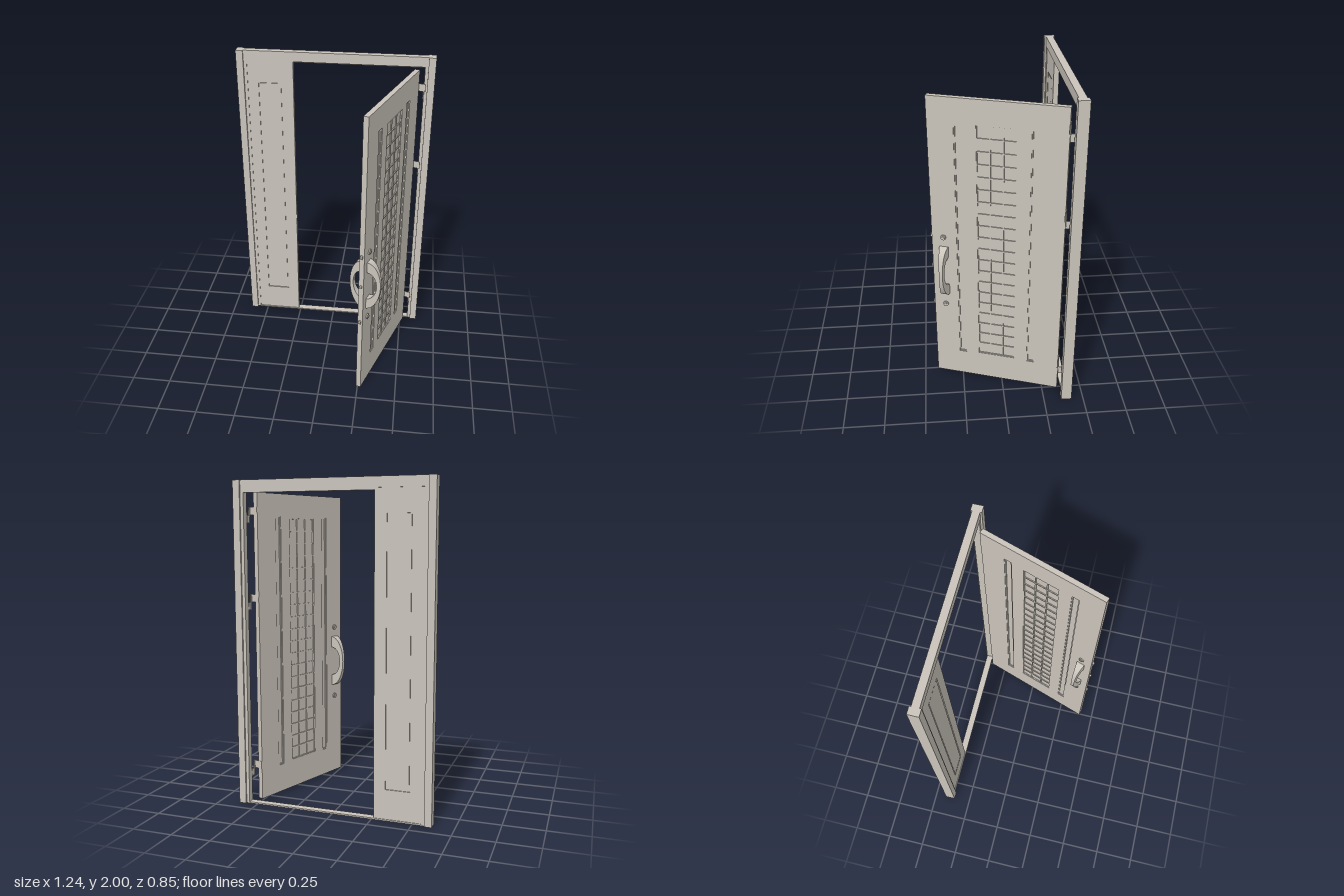
import * as THREE from 'three';

export function createModel() {
  const model = new THREE.Group();
  const paint = new THREE.MeshStandardMaterial({ color: 0xcac4bb });
  paint.name = 'warm grey paint';

  const add = (parent, name, geometry, x = 0, y = 0, z = 0) => {
    const mesh = new THREE.Mesh(geometry, paint);
    mesh.name = name;
    mesh.position.set(x, y, z);
    parent.add(mesh);
    return mesh;
  };
  // Box given by its limits on each axis
  const box = (parent, name, x0, x1, y0, y1, z0, z1) =>
    add(parent, name, new THREE.BoxGeometry(x1 - x0, y1 - y0, z1 - z0),
      (x0 + x1) / 2, (y0 + y1) / 2, (z0 + z1) / 2);
  // Slab with rectangular openings, each [x0, x1, y0, y1], centred on z
  const slab = (parent, name, [x0, x1, y0, y1], openings, depth, z) => {
    const rect = (path, a, b, c, d) =>
      path.moveTo(a, c).lineTo(b, c).lineTo(b, d).lineTo(a, d).closePath();
    const shape = new THREE.Shape();
    rect(shape, x0, x1, y0, y1);
    for (const o of openings) {
      const hole = new THREE.Path();
      rect(hole, ...o);
      shape.holes.push(hole);
    }
    return add(parent, name,
      new THREE.ExtrudeGeometry(shape, { depth, bevelEnabled: false }), 0, 0, z - depth / 2);
  };

  // Door frame
  const frame = new THREE.Group();
  frame.name = 'frame';
  model.add(frame);
  for (const s of [-1, 1]) {
    const side = s < 0 ? 'right' : 'left';
    const span = (a, b) => (s < 0 ? [-b, -a] : [a, b]);
    box(frame, side + 'Post', ...span(0.575, 0.62), 0, 2, -0.425, -0.36);
    box(frame, side + 'Jamb', ...span(0.555, 0.575), 0, 1.94, -0.415, -0.372);
  }
  box(frame, 'header', -0.575, 0.575, 1.938, 2, -0.415, -0.37);
  box(frame, 'headerStop', -0.262, 0.555, 1.925, 1.938, -0.415, -0.4);
  box(frame, 'sill', -0.555, 0.555, 0, 0.009, -0.415, -0.37);

  // Fixed side panel with a groove around its field
  const field = [-0.486, -0.335, 0.192, 1.797];
  slab(frame, 'sidePanel', [-0.575, -0.262, 0, 1.938], [field], 0.034, -0.393);
  box(frame, 'sidePanelCore', ...field, -0.404, -0.382);
  const g = 0.007;
  box(frame, 'sidePanelField', field[0] + g, field[1] - g, field[2] + g, field[3] - g, -0.409, -0.377);
  for (const y of [1.045, 0.82, 0.56])
    box(frame, 'strikePlate', -0.263, -0.259, y - 0.022, y + 0.022, -0.4, -0.386);

  // Open door: local +x points to the hinges, local +z is the outside
  const door = new THREE.Group();
  door.name = 'door';
  door.position.set(0.3825, 0, 0.03);
  door.rotation.y = 1.249;
  model.add(door);
  const W = 0.4, T = 0.032;
  const lattice = [-0.116, 0.116, 0.203, 1.78];
  const slots = [[-0.245, -0.197, 0.195, 1.79], [0.197, 0.245, 0.195, 1.79]];
  slab(door, 'doorLeaf', [-W, W, 0.015, 1.93], [lattice, ...slots], T, 0);
  box(door, 'latticeCore', ...lattice, -0.007, 0.007);
  for (const [x0, x1, y0, y1] of slots) {
    box(door, 'slotCore', x0, x1, y0, y1, -0.006, 0.006);
    slab(door, 'slotTrim', [x0, x1, y0, y1],
      [[x0 + 0.007, x1 - 0.007, y0 + 0.007, y1 - 0.007]], 0.024, 0);
  }

  // Lattice bars, standing out on both faces
  const [lx0, lx1, ly0, ly1] = lattice;
  const b = 0.004, depth = 0.013, rows = 20, columns = 3;
  for (let i = 1; i < columns; i++) {
    const x = lx0 + (lx1 - lx0) * i / columns;
    box(door, 'latticeUpright', x - b, x + b, ly0, ly1, -depth, depth);
  }
  for (let i = 1; i < rows; i++) {
    const y = ly0 + (ly1 - ly0) * i / rows;
    box(door, 'latticeRail', lx0, lx1, y - b, y + b, -depth, depth);
  }
  slab(door, 'latticeBorder', lattice, [[lx0 + b, lx1 - b, ly0 + b, ly1 - b]], 2 * depth, 0);

  // Bow handle: crescent in the outward plane, narrowing away from the door
  const arc = (half, out, n = 24) => Array.from({ length: n + 1 }, (_, i) => {
    const a = -Math.PI / 2 + Math.PI * i / n;
    return new THREE.Vector2(out * Math.cos(a), half * Math.sin(a));
  });
  const crescent = new THREE.Shape([...arc(0.17, 0.086), ...arc(0.098, 0.062).reverse()]);
  const handleGeometry = new THREE.ExtrudeGeometry(crescent, { depth: 1, bevelEnabled: false });
  handleGeometry.translate(0, 0, -0.5);
  handleGeometry.rotateY(-Math.PI / 2);
  const p = handleGeometry.attributes.position;
  for (let i = 0; i < p.count; i++)
    p.setX(i, p.getX(i) * (0.056 - 0.4 * p.getZ(i)));
  handleGeometry.computeVertexNormals();

  const cylinder = (r, h) => new THREE.CylinderGeometry(r, r, h, 20).rotateX(Math.PI / 2);
  for (const turn of [0, Math.PI]) {
    const hardware = new THREE.Group();
    hardware.name = turn ? 'insideHardware' : 'outsideHardware';
    hardware.position.set(-0.327, 0, 0);
    hardware.rotation.y = turn;
    door.add(hardware);
    add(hardware, 'bowHandle', handleGeometry, 0, 0.81, T / 2 - 0.001);
    for (const y of [1.045, 0.56]) {
      add(hardware, 'lockRing', cylinder(0.017, 0.008), 0, y, T / 2 + 0.004);
      add(hardware, 'lockCore', cylinder(0.009, 0.005), 0, y, T / 2 + 0.0105);
    }
  }

  // Latch bolts on the free edge
  for (const [y, h] of [[1.045, 0.01], [0.83, 0.008], [0.56, 0.01]])
    box(door, 'latchBolt', -W - 0.012, -W, y - h, y + h, -0.007, 0.007);

  // Hinges: one leaf on the door edge, one on the jamb, joined by a pin
  for (const y of [1.795, 1.268, 0.212]) {
    box(door, 'doorHingeLeaf', W, W + 0.003, y, y + 0.048, -0.015, 0.058);
    box(model, 'frameHingeLeaf', 0.552, 0.556, y - 0.048, y, -0.372, -0.338);
    add(model, 'hingePin', new THREE.CylinderGeometry(0.004, 0.004, 0.098, 12), 0.553, y, -0.342);
  }
  return model;
}
